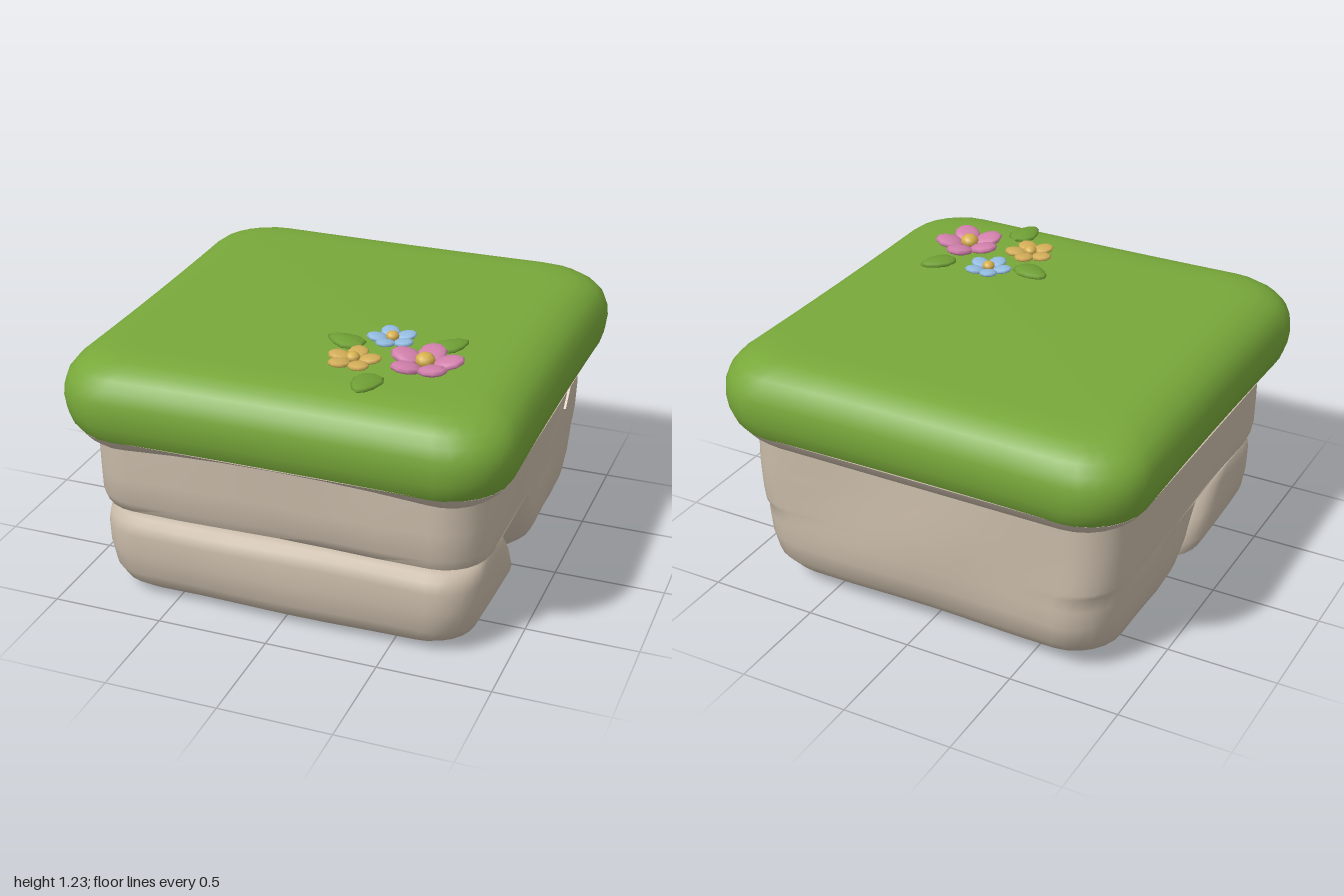
import * as THREE from 'three';
import { toCreasedNormals } from 'three/addons/utils/BufferGeometryUtils.js';

const mat = (name, color) => {
  const m = new THREE.MeshStandardMaterial({ color });
  m.name = name;
  return m;
};

// Rounded rectangle in plan, running from +x towards +z
function ringPoints([y, zBack, zFront, halfX, radius], corner = 6, side = 6) {
  const cz = (zBack + zFront) / 2, halfZ = (zFront - zBack) / 2;
  const r = Math.min(radius, halfX * 0.95, halfZ * 0.95);
  const arcs = [];
  [[1, 1], [-1, 1], [-1, -1], [1, -1]].forEach(([sx, sz], k) => {
    for (let i = 0; i <= corner; i++) {
      const a = (k + i / corner) * Math.PI / 2;
      arcs.push(new THREE.Vector3(sx * (halfX - r) + r * Math.cos(a), y, cz + sz * (halfZ - r) + r * Math.sin(a)));
    }
  });
  const pts = [];
  arcs.forEach((p, i) => {
    pts.push(p);
    if (i % (corner + 1) === corner) {
      const q = arcs[(i + 1) % arcs.length];
      for (let s = 1; s < side; s++) pts.push(p.clone().lerp(q, s / side));
    }
  });
  return pts;
}

// Closed solid through a stack of rings; warp gives the hand-carved unevenness
function loft(rings, warp, crease = 0.75) {
  const loops = rings.map((r) => ringPoints(r));
  const n = loops[0].length, pos = [], idx = [];
  const center = ([y, zb, zf]) => new THREE.Vector3(0, y, (zb + zf) / 2);
  const all = [...loops.flat(), center(rings[0]), center(rings[rings.length - 1])];
  all.forEach((p) => { if (warp) warp(p); pos.push(p.x, p.y, p.z); });
  const bottom = loops.length * n, top = bottom + 1, last = (loops.length - 1) * n;
  for (let i = 0; i < n; i++) {
    const j = (i + 1) % n;
    for (let k = 0; k < loops.length - 1; k++) {
      const a = k * n + i, b = k * n + j;
      idx.push(a, a + n, b, b, a + n, b + n);
    }
    idx.push(bottom, i, j, top, last + j, last + i);
  }
  const g = new THREE.BufferGeometry();
  g.setAttribute('position', new THREE.Float32BufferAttribute(pos, 3));
  g.setIndex(idx);
  return toCreasedNormals(g, crease);
}

const carve = (p) => {
  p.x += 0.006 * Math.sin(5 * p.z + 9 * p.y) * Math.sign(p.x);
  p.z += 0.006 * Math.sin(6 * p.x + 8 * p.y + 1);
};

export function createModel() {
  const model = new THREE.Group();
  model.name = 'mossyStoneBlock';
  const stone = mat('stone', 0xc8baa8);
  const grass = mat('grass', 0x78a83a);
  const leafGreen = mat('leafGreen', 0x6f9f35);
  const pink = mat('pinkPetal', 0xd180ab);
  const blue = mat('bluePetal', 0x93bbe0);
  const yellow = mat('yellowPetal', 0xd2ad58);
  const gold = mat('flowerCentre', 0xd6b04e);

  const add = (name, geometry, material, parent = model) => {
    const m = new THREE.Mesh(geometry, material);
    m.name = name;
    parent.add(m);
    return m;
  };

  // Main stone, overhanging the front: [y, zBack, zFront, halfX, cornerRadius]
  add('mainStone', loft([
    [0, -0.62, -0.07, 0.70, 0.16],
    [0.02, -0.72, -0.04, 0.77, 0.2],
    [0.07, -0.80, 0.00, 0.82, 0.22],
    [0.15, -0.87, 0.06, 0.85, 0.22],
    [0.25, -0.895, 0.13, 0.865, 0.22],
    [0.34, -0.90, 0.20, 0.87, 0.22],
    [0.40, -0.90, 0.27, 0.87, 0.22],
    [0.412, -0.90, 0.80, 0.87, 0.2],
    [0.43, -0.90, 0.85, 0.872, 0.2],
    [0.48, -0.90, 0.875, 0.875, 0.2],
    [0.60, -0.895, 0.88, 0.878, 0.2],
    [0.80, -0.89, 0.885, 0.885, 0.2],
  ], carve), stone);

  // Lower front stone with a slanted back
  add('frontStone', loft([
    [0, 0.22, 0.70, 0.70, 0.14],
    [0.02, 0.10, 0.78, 0.77, 0.17],
    [0.06, 0.03, 0.83, 0.82, 0.19],
    [0.12, 0.05, 0.86, 0.85, 0.2],
    [0.22, 0.12, 0.875, 0.862, 0.2],
    [0.32, 0.20, 0.875, 0.862, 0.2],
    [0.37, 0.25, 0.865, 0.855, 0.2],
    [0.395, 0.29, 0.84, 0.835, 0.19],
    [0.405, 0.33, 0.80, 0.80, 0.17],
  ], carve), stone);

  // Chipped ridge on the left face
  const chip = new THREE.Shape();
  chip.moveTo(0.49, 0.58).lineTo(0.57, 0.61).lineTo(0.68, 0.76).lineTo(0.63, 0.74).closePath();
  const ridge = add('stoneChip', new THREE.ExtrudeGeometry(chip, { depth: 0.02, bevelEnabled: false }), stone);
  ridge.rotation.y = Math.PI / 2;
  ridge.position.x = 0.87;

  // Stone lip under the grass, lifted along the middle of the front
  const lipWarp = (p) => {
    if (p.y < 0.79 && p.z > 0.5) p.y += 0.035 * Math.max(0, 1 - p.x * p.x / 0.6);
  };
  add('stoneLip', loft([
    [0.735, -0.87, 0.87, 0.87, 0.2],
    [0.745, -0.905, 0.905, 0.905, 0.23],
    [0.775, -0.935, 0.935, 0.935, 0.24],
    [0.815, -0.962, 0.962, 0.962, 0.25],
  ], lipWarp), stone);

  // Grass cushion; sides pinch in slightly at the middle
  const grassWarp = (p) => {
    if (Math.abs(p.x) > 0.7) p.x -= Math.sign(p.x) * 0.008 * Math.max(0, 1 - p.z * p.z * 2);
    if (Math.abs(p.z) > 0.7) p.z -= Math.sign(p.z) * 0.008 * Math.max(0, 1 - p.x * p.x * 2);
  };
  const grassProfile = [[0.81, 0.96], [0.84, 0.978], [0.89, 0.993], [0.95, 1], [1.0, 0.996], [1.05, 0.98],
    [1.09, 0.95], [1.12, 0.91], [1.14, 0.865], [1.151, 0.81], [1.155, 0.74]];
  add('grassTop', loft(grassProfile.map(([y, h]) => [y, -h, h, h, 0.27 - (1 - h) * 0.35]), grassWarp), grass);

  // Five-petalled flowers: cupped, flattened petals round a domed centre
  const flower = (name, x, z, radius, material, turn, y, tilt) => {
    const g = new THREE.Group();
    g.name = name;
    g.position.set(x, y, z);
    for (let i = 0; i < 5; i++) {
      const pivot = new THREE.Group();
      pivot.name = 'petalPivot';
      pivot.rotation.y = turn + i * Math.PI * 2 / 5;
      const petal = add('petal', new THREE.SphereGeometry(1, 9, 6), material, pivot);
      petal.scale.set(radius * 0.43, radius * 0.13, radius * 0.38);
      petal.position.set(radius * 0.58, 0.003 * (i % 2), 0);
      petal.rotation.z = tilt;
      g.add(pivot);
    }
    const centre = add('flowerCentre', new THREE.SphereGeometry(1, 9, 6), gold, g);
    centre.scale.set(radius * 0.26, radius * 0.2, radius * 0.26);
    centre.position.y = 0.01;
    model.add(g);
  };
  flower('pinkFlower', 0.525, 0.505, 0.165, pink, Math.PI / 2, 1.185, 0.2);
  flower('blueFlower', 0.315, 0.31, 0.112, blue, Math.PI / 4, 1.18, 0.15);
  flower('yellowFlower', 0.23, 0.56, 0.12, yellow, 0.35, 1.175, 0.1);

  // Pointed leaves with a raised midrib; angle is the tip's heading in plan
  const leaf = (x, z, length, width, angle) => {
    const g = new THREE.SphereGeometry(1, 10, 6);
    const p = g.attributes.position;
    for (let i = 0; i < p.count; i++) {
      const t = p.getX(i);
      p.setZ(i, p.getZ(i) * (1 - 0.35 * t));
    }
    g.scale(length / 2, 0.017, width / 2);
    g.computeVertexNormals();
    const m = add('leaf', g, leafGreen);
    m.position.set(x, 1.17, z);
    m.rotation.y = angle;
  };
  leaf(0.13, 0.38, 0.19, 0.125, Math.PI - 0.35);
  leaf(0.565, 0.275, 0.18, 0.115, 0.95);
  leaf(0.355, 0.75, 0.19, 0.125, -Math.PI / 2 - 0.08);

  return model;
}
